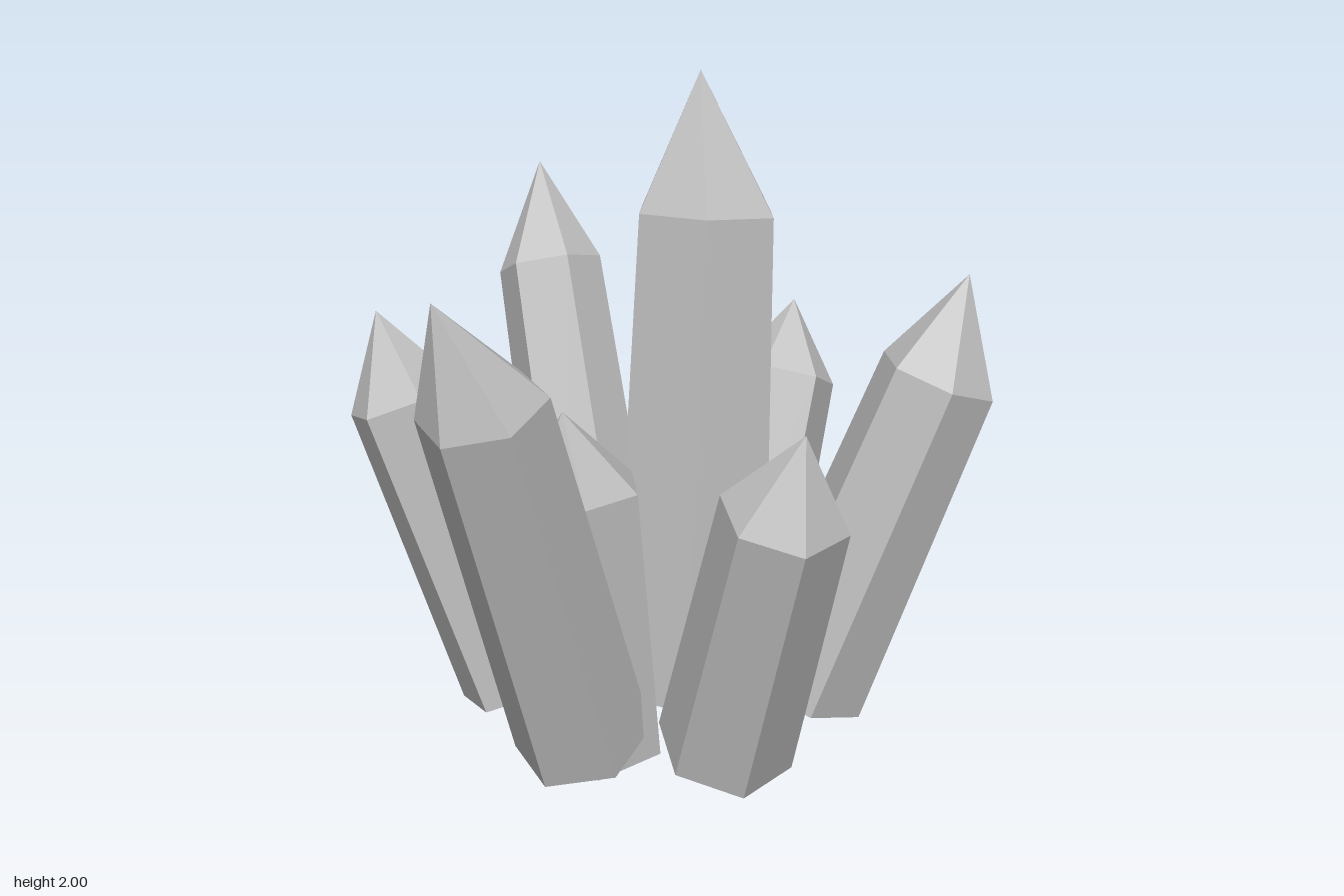
import * as THREE from 'three';

const SIDES = 6;

// Six-sided tapered prism from base to shoulder, closed by a pointed tip.
// Both rings lie square to the axis; turn is the heading of one corner in degrees.
function crystalGeometry({ base, shoulder, tip, r0, r1, turn }) {
  const b = new THREE.Vector3(...base);
  const s = new THREE.Vector3(...shoulder);
  const t = new THREE.Vector3(...tip);
  const axis = s.clone().sub(b).normalize();
  const u = new THREE.Vector3(1, 0, 0).addScaledVector(axis, -axis.x).normalize();
  const v = u.clone().cross(axis);

  const ring = (center, radius) => Array.from({ length: SIDES }, (_, i) => {
    const a = THREE.MathUtils.degToRad(turn) + (i / SIDES) * Math.PI * 2;
    return center.clone()
      .addScaledVector(u, radius * Math.cos(a))
      .addScaledVector(v, radius * Math.sin(a));
  });
  const low = ring(b, r0);
  const high = ring(s, r1);

  const points = [];
  for (let i = 0; i < SIDES; i++) {
    const j = (i + 1) % SIDES;
    points.push(low[i], high[i], low[j], low[j], high[i], high[j]); // side
    points.push(high[i], t, high[j]);                               // tip facet
    points.push(b, low[i], low[j]);                                 // underside
  }
  const geometry = new THREE.BufferGeometry().setFromPoints(points);
  geometry.computeVertexNormals();
  return geometry;
}

export function createModel() {
  const group = new THREE.Group();
  group.name = 'crystalCluster';
  const crystalGrey = new THREE.MeshStandardMaterial({ color: 0xc0c0c0, flatShading: true });
  crystalGrey.name = 'crystalGrey';

  const crystals = [
    // tall centre crystal and the short one in front of it
    { name: 'centreCrystal', base: [0.025, 0.015, -0.2], shoulder: [0.025, 1.57, -0.28], tip: [0, 2, -0.28], r0: 0.285, r1: 0.235, turn: -2 },
    { name: 'shortCrystal', base: [0.01, 0.02, 0.32], shoulder: [0.02, 0.86, 0.38], tip: [0.01, 1.1, 0.45], r0: 0.225, r1: 0.18, turn: 50 },
    // outer ring, leaning outwards
    { name: 'frontCrystal', base: [0.03, 0.07, 0.4], shoulder: [0.03, 1.2, 0.815], tip: [0, 1.5, 0.96], r0: 0.21, r1: 0.182, turn: 28 },
    { name: 'frontRightCrystal', base: [-0.37, 0.07, 0.185], shoulder: [-0.665, 1.02, 0.375], tip: [-0.73, 1.29, 0.41], r0: 0.212, r1: 0.178, turn: 26 },
    { name: 'frontLeftCrystal', base: [0.405, 0.065, 0.195], shoulder: [0.66, 0.89, 0.33], tip: [0.73, 1.13, 0.355], r0: 0.208, r1: 0.182, turn: 43 },
    { name: 'backRightCrystal', base: [-0.375, 0.07, -0.275], shoulder: [-0.76, 1.29, -0.497], tip: [-0.85, 1.64, -0.565], r0: 0.21, r1: 0.182, turn: 33 },
    { name: 'backLeftCrystal', base: [0.41, 0.07, -0.27], shoulder: [0.74, 1.11, -0.465], tip: [0.8, 1.42, -0.52], r0: 0.212, r1: 0.182, turn: 51 },
    { name: 'backCrystal', base: [0.02, 0.075, -0.46], shoulder: [0.02, 0.935, -0.81], tip: [0, 1.18, -0.915], r0: 0.21, r1: 0.182, turn: 24 },
  ];

  for (const spec of crystals) {
    const mesh = new THREE.Mesh(crystalGeometry(spec), crystalGrey);
    mesh.name = spec.name;
    group.add(mesh);
  }
  return group;
}
